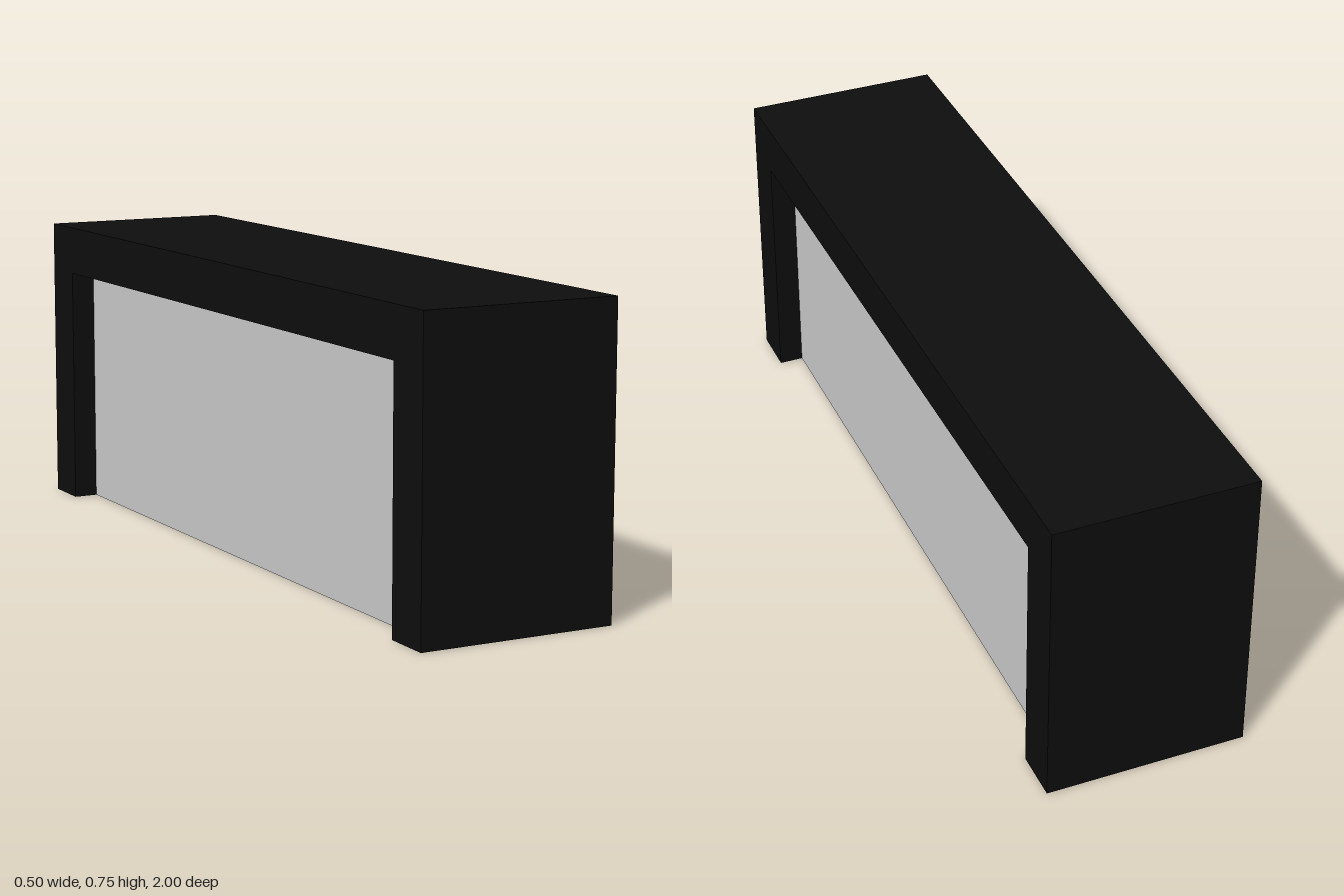
import * as THREE from 'three';

export function createModel() {
  const model = new THREE.Group();
  const black = new THREE.MeshStandardMaterial({ name: 'black', color: 0x0d0d0d });
  const lightGrey = new THREE.MeshStandardMaterial({ name: 'lightGrey', color: 0xc8c8c8 });

  const width = 0.5, height = 0.75, halfLength = 1;
  const border = 0.125, inset = 0.0625;
  const inner = halfLength - border, innerTop = height - border;

  // Frame: an arch of two posts and a lintel, extruded across the width
  const arch = new THREE.Shape([
    [-halfLength, 0], [-inner, 0], [-inner, innerTop], [inner, innerTop],
    [inner, 0], [halfLength, 0], [halfLength, height], [-halfLength, height],
  ].map(([z, y]) => new THREE.Vector2(z, y)));
  const frameGeometry = new THREE.ExtrudeGeometry(arch, { depth: width, bevelEnabled: false });
  frameGeometry.translate(0, 0, -width / 2).rotateY(Math.PI / 2);
  const frame = new THREE.Mesh(frameGeometry, black);
  frame.name = 'frame';
  model.add(frame);

  // Recessed infill: grey on both long sides, black underneath
  const infill = new THREE.Mesh(
    new THREE.BoxGeometry(width - 2 * inset, innerTop, 2 * inner),
    [lightGrey, lightGrey, black, black, black, black],
  );
  infill.name = 'recessedPanels';
  infill.position.y = innerTop / 2;
  model.add(infill);

  return model;
}
